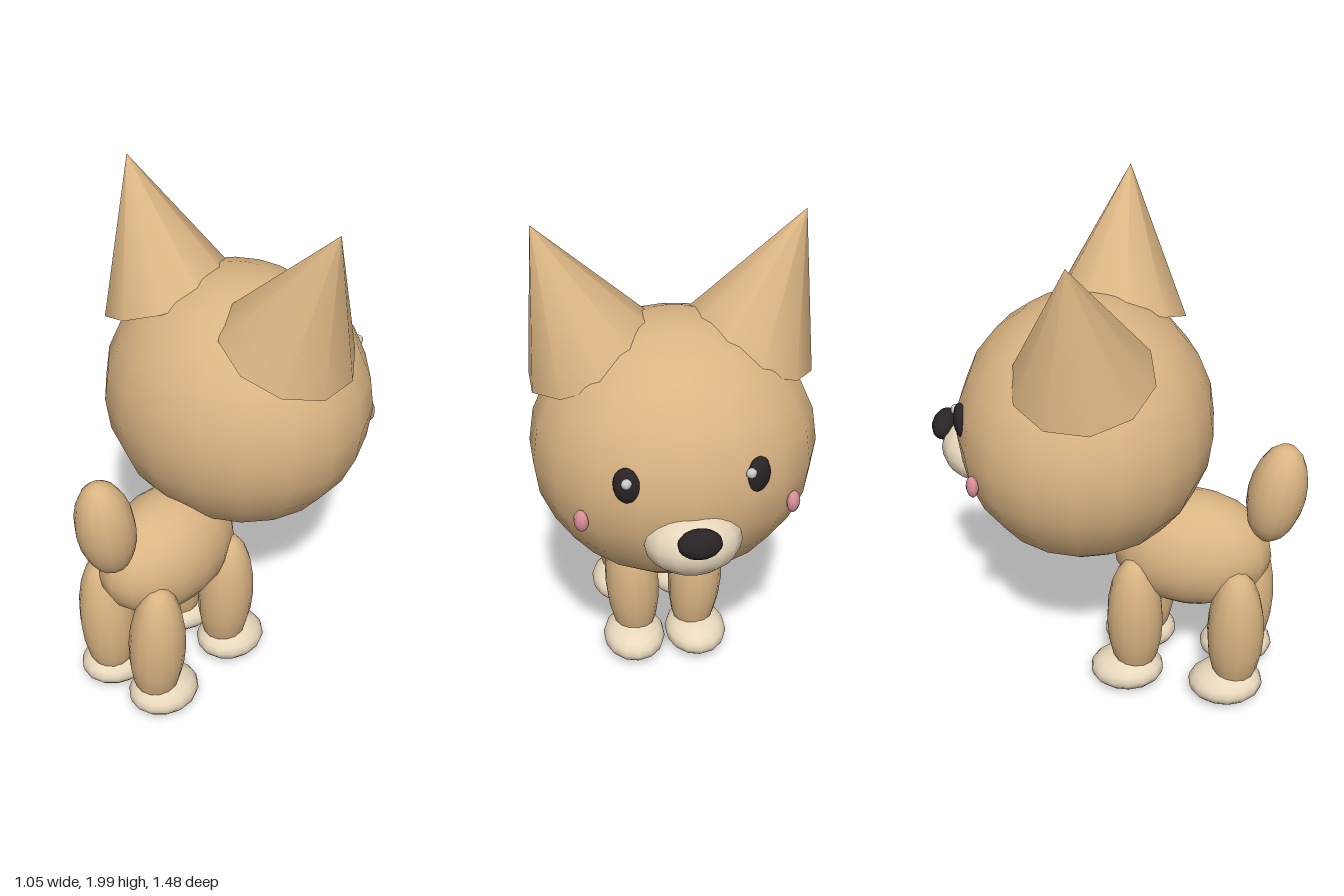
import * as THREE from 'three';

const material = (color) => new THREE.MeshStandardMaterial({ color });

export function createModel() {
  const model = new THREE.Group();
  const fur = material(0xdbb583);
  const cream = material(0xe8d8bc);
  const dark = material(0x2a2426);
  const pink = material(0xdb8f98);
  const white = material(0xf4f4f4);

  // Smooth low-poly ellipsoid with a vertex on the z axis
  function ellipsoid(name, mat, pos, radii, rot = [0, 0, 0], segs = [14, 10]) {
    const geo = new THREE.SphereGeometry(1, ...segs).rotateY(Math.PI / 2).scale(...radii);
    const mesh = new THREE.Mesh(geo, mat);
    mesh.name = name;
    mesh.position.set(...pos);
    mesh.rotation.set(...rot);
    model.add(mesh);
    return mesh;
  }

  // Head, body and upright tail; the face looks towards -z
  ellipsoid('head', fur, [0, 1.14, -0.12], [0.535, 0.51, 0.49], [0, 0, 0], [18, 12]);
  ellipsoid('body', fur, [0, 0.63, 0.3], [0.21, 0.24, 0.318], [0, 0, 0], [16, 12]);
  ellipsoid('tail', fur, [0, 0.925, 0.622], [0.112, 0.217, 0.112], [0.15, 0, 0]);

  // Muzzle and nose
  ellipsoid('muzzle', cream, [0, 0.98, -0.54], [0.18, 0.125, 0.16], [0.15, 0, 0]);
  ellipsoid('nose', dark, [0, 1.057, -0.69], [0.08, 0.057, 0.05]);

  for (const side of [-1, 1]) {
    const label = side > 0 ? 'left' : 'right';

    // Ear: ten-sided cone leaning outwards
    const ear = new THREE.Mesh(new THREE.ConeGeometry(0.265, 0.55, 10), fur);
    ear.name = label + 'Ear';
    const lean = 0.385;
    ear.position.set(
      side * (0.28 + Math.sin(lean) * 0.275), 1.49 + Math.cos(lean) * 0.275, -0.06);
    ear.rotation.z = -side * lean;
    model.add(ear);

    // Eye with its highlight, and cheek
    ellipsoid(label + 'Eye', dark, [side * 0.232, 1.225, -0.542],
      [0.05, 0.07, 0.027], [0, -side * 0.43, 0], [12, 10]);
    ellipsoid(label + 'EyeHighlight', white, [side * 0.218 + 0.018, 1.25, -0.572],
      [0.02, 0.02, 0.017], [0, 0, 0], [8, 6]);
    ellipsoid(label + 'Cheek', pink, [side * 0.385, 1.04, -0.458],
      [0.03, 0.043, 0.022], [0, -side * 0.75, 0], [10, 8]);

    // Front and hind legs with paws
    for (const [end, legZ, pawZ] of [['Front', 0.104, 0.072], ['Hind', 0.51, 0.478]]) {
      ellipsoid(label + end + 'Leg', fur, [side * 0.132, 0.34, legZ],
        [0.11, 0.3, 0.113], [0, 0, -side * 0.06]);
      ellipsoid(label + end + 'Paw', cream, [side * 0.13, 0.083, pawZ],
        [0.128, 0.076, 0.15], [-0.08, 0, 0]);
    }
  }
  return model;
}
